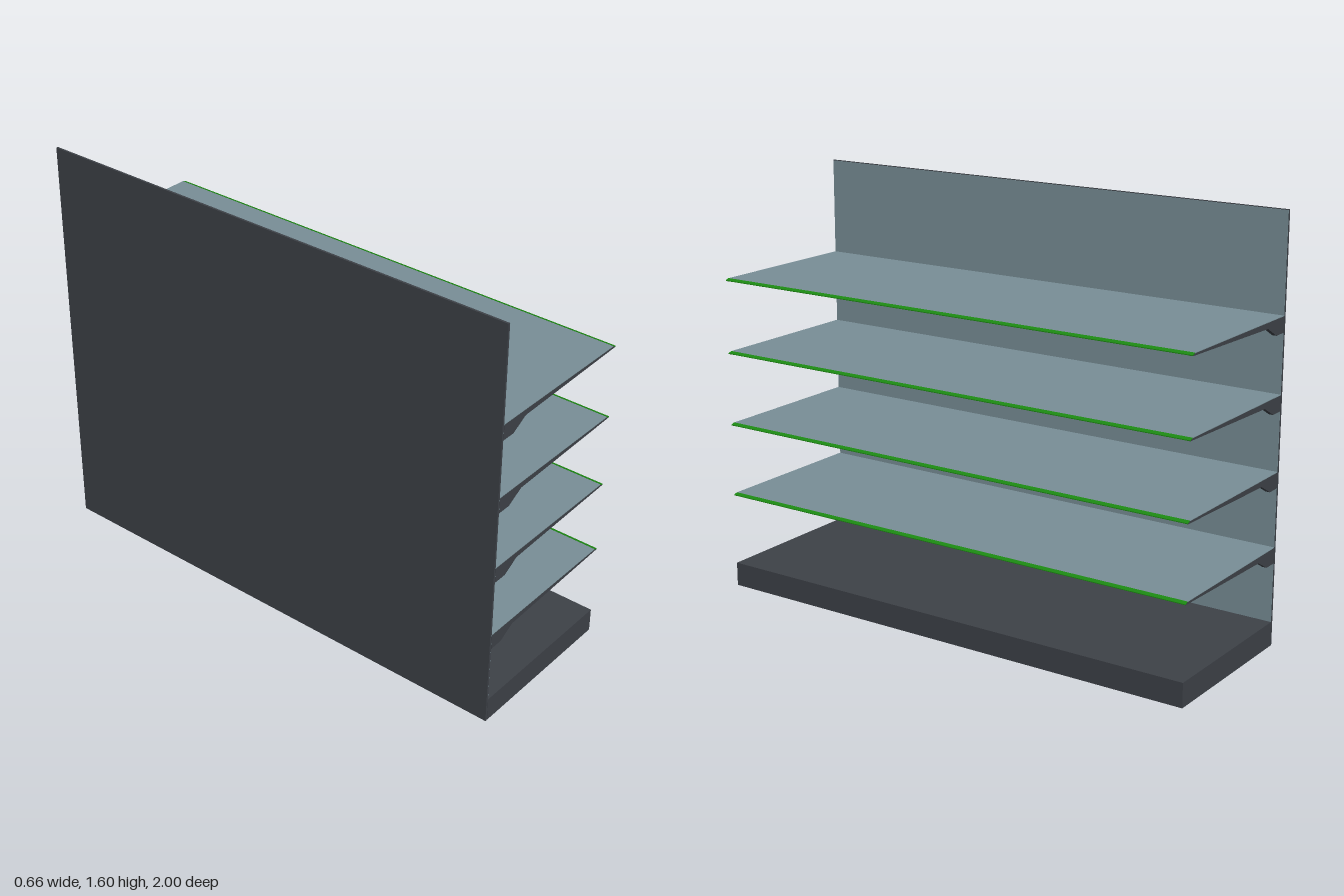
import * as THREE from 'three';

const mat = (name, color) => Object.assign(new THREE.MeshStandardMaterial({ color }), { name });

export function createModel() {
  const charcoal = mat('charcoal', 0x3d4147);
  const slate = mat('slate', 0x788e96);
  const green = mat('green', 0x1c8a12);
  const model = new THREE.Group();
  model.name = 'shelvingUnit';

  const box = (name, material, x0, x1, y0, y1, length = 2) => {
    const mesh = new THREE.Mesh(new THREE.BoxGeometry(x1 - x0, y1 - y0, length), material);
    mesh.name = name;
    mesh.position.set((x0 + x1) / 2, (y0 + y1) / 2, 0);
    model.add(mesh);
  };

  // Extrude an x/y profile along z between two positions
  const prism = (name, material, points, z0, z1, parent) => {
    const shape = new THREE.Shape(points.map(([x, y]) => new THREE.Vector2(x, y)));
    const geometry = new THREE.ExtrudeGeometry(shape, { depth: z1 - z0, bevelEnabled: false });
    const mesh = new THREE.Mesh(geometry, material);
    mesh.name = name;
    mesh.position.z = z0;
    parent.add(mesh);
  };

  // Plinth and back panel with its slate inner face
  box('base', charcoal, -0.32, 0.328, 0, 0.093);
  box('backPanel', charcoal, -0.33, -0.322, 0, 1.6);
  box('backPanelFace', slate, -0.322, -0.32, 0.093, 1.598, 1.998);

  // Profiles measured down from the shelf top
  const boardProfile = [[-0.32, 0], [-0.32, -0.025], [-0.2, -0.022], [0.326, -0.008], [0.326, -0.006], [0.313, 0]];
  const bracketProfile = [[-0.32, -0.002], [-0.32, -0.061], [-0.266, -0.061], [-0.2, -0.024], [0.326, -0.009], [0.326, -0.007], [0.313, -0.002]];
  const skinProfile = [[-0.32, 0], [-0.32, -0.002], [0.313, -0.002], [0.313, 0]];
  const stripProfile = [[0.313, 0.0005], [0.313, -0.002], [0.326, -0.008], [0.328, -0.008], [0.328, -0.005]];

  for (let i = 0; i < 4; i++) {
    const shelf = new THREE.Group();
    shelf.name = 'shelf';
    shelf.position.y = 0.38 + i * 0.2835;
    model.add(shelf);
    prism('board', slate, boardProfile, -0.983, 0.983, shelf);
    // Dark end brackets under a thin continuation of the board top
    for (const [z0, z1] of [[-1, -0.983], [0.983, 1]]) {
      prism('bracket', charcoal, bracketProfile, z0, z1, shelf);
      prism('boardEnd', slate, skinProfile, z0, z1, shelf);
    }
    // Coloured strip along the sloping front edge
    prism('frontStrip', green, stripProfile, -1, 1, shelf);
  }
  return model;
}
